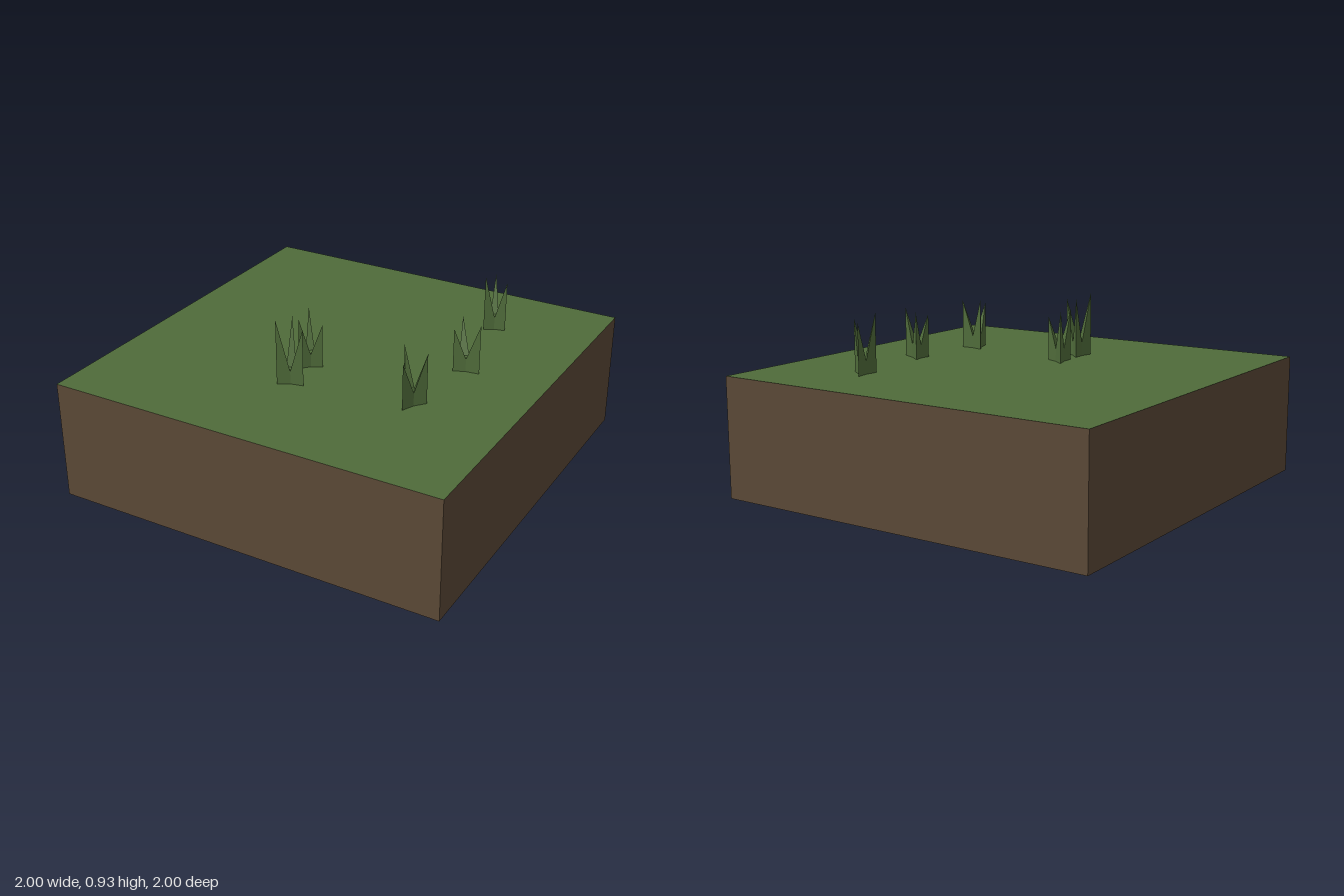
import * as THREE from 'three';

// Each tuft: three blade tips [x, y, z], counterclockwise seen from above
const TUFTS = [
  [[0.47, 0.86, -0.66], [0.47, 0.89, -0.53], [0.57, 0.86, -0.57]],
  [[0.53, 0.84, -0.147], [0.537, 0.82, -0.037], [0.66, 0.85, -0.068]],
  [[-0.133, 0.86, 0.166], [-0.107, 0.86, 0.303], [-0.017, 0.82, 0.235]],
  [[-0.102, 0.9, 0.362], [-0.113, 0.925, 0.49], [0.004, 0.885, 0.445]],
  [[0.45, 0.86, 0.297], [0.511, 0.83, 0.428], [0.578, 0.85, 0.315]],
];
const SOIL_TOP = 0.6;

// Three-sided tuft: tall tips at the corners, low notches between them
function tuftGeometry(tips) {
  const points = tips.map((t) => new THREE.Vector3(...t));
  const centre = new THREE.Vector3();
  points.forEach((p) => centre.addScaledVector(p, 1 / 3));
  const ring = [];
  points.forEach((p, i) => {
    const notch = p.clone().lerp(points[(i + 1) % 3], 0.5).lerp(centre, 0.25);
    notch.y = 0.665;
    ring.push(p, notch);
  });
  const verts = [];
  const face = (...corners) => corners.forEach((c) => verts.push(c.x, c.y, c.z));
  const foot = (p) => new THREE.Vector3(p.x, SOIL_TOP, p.z);
  // Outer walls
  ring.forEach((a, i) => {
    const b = ring[(i + 1) % 6];
    face(foot(a), foot(b), b);
    face(foot(a), b, a);
  });
  // Inner faces of the blades and the hollow between them
  for (let i = 0; i < 6; i += 2) face(ring[i], ring[i + 1], ring[(i + 5) % 6]);
  face(ring[1], ring[3], ring[5]);
  const geometry = new THREE.BufferGeometry();
  geometry.setAttribute('position', new THREE.Float32BufferAttribute(verts, 3));
  geometry.computeVertexNormals();
  return geometry;
}

export function createModel() {
  const model = new THREE.Group();
  model.name = 'grassTile';
  const soil = new THREE.MeshStandardMaterial({ color: 0x5a4836 });
  soil.name = 'soilBrown';
  const grass = new THREE.MeshStandardMaterial({ color: 0x4f6b3a });
  grass.name = 'grassGreen';

  // Soil block with a green upper face
  const block = new THREE.Mesh(
    new THREE.BoxGeometry(2, SOIL_TOP, 2),
    [soil, soil, grass, soil, soil, soil],
  );
  block.name = 'groundBlock';
  block.position.y = SOIL_TOP / 2;
  model.add(block);

  // Grass tufts
  TUFTS.forEach((tips, i) => {
    const tuft = new THREE.Mesh(tuftGeometry(tips), grass);
    tuft.name = `grassTuft${i + 1}`;
    model.add(tuft);
  });
  return model;
}
